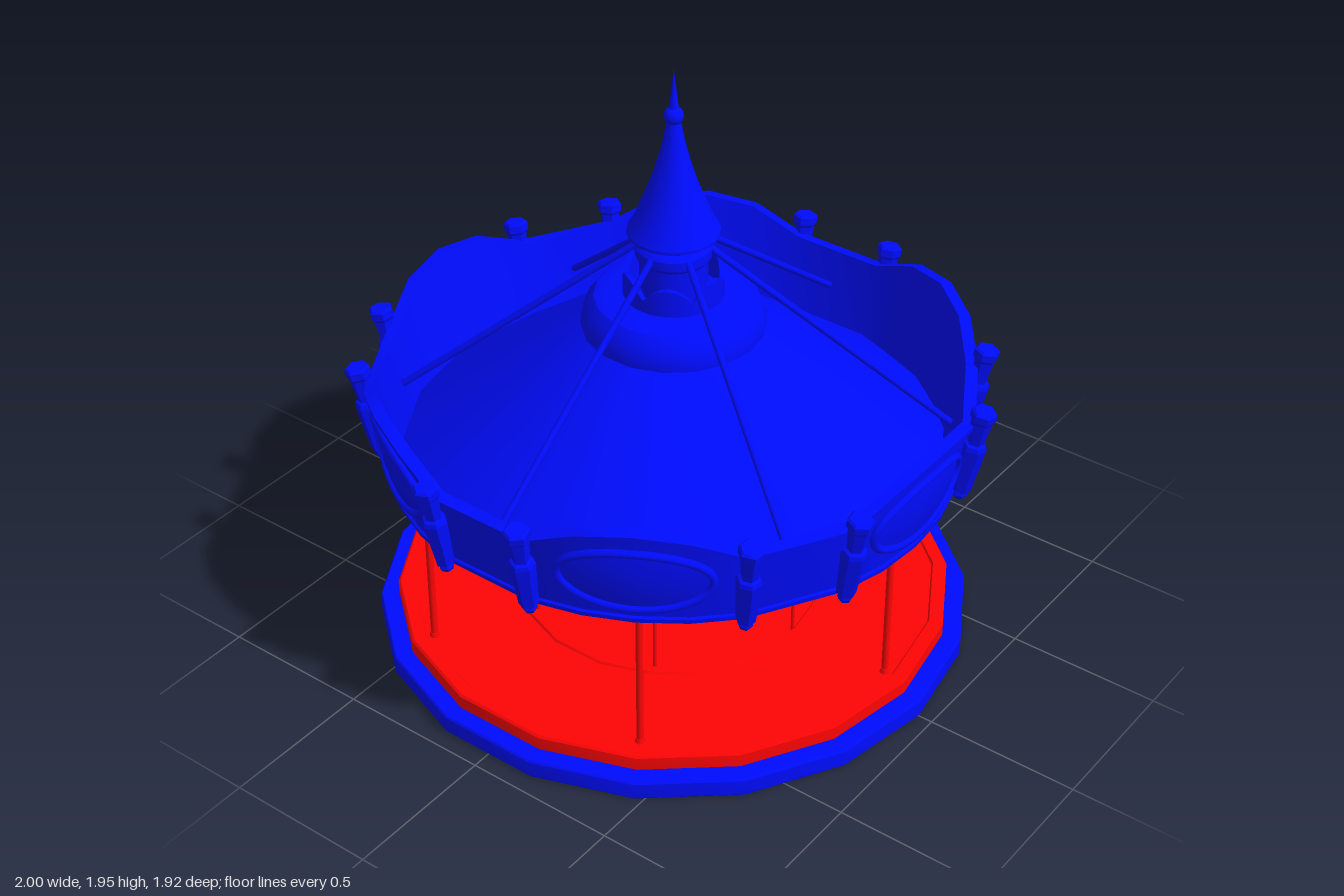
import * as THREE from 'three';
import { toCreasedNormals } from 'three/addons/utils/BufferGeometryUtils.js';

const blue = new THREE.MeshStandardMaterial({ color: 0x000cff, side: THREE.DoubleSide });
const red = new THREE.MeshStandardMaterial({ color: 0xff0404, side: THREE.DoubleSide });
const RAD = Math.PI / 180;
const V = (x, y, z) => new THREE.Vector3(x, y, z);
// point at radius r, height y, angle a measured from +z towards +x
const polar = (r, y, a) => V(r * Math.sin(a), y, r * Math.cos(a));

// closed ring of six arched bays; sectionAt(t) gives [r, y] corners for t = -1..1 across a bay
function archedRing(halfAngle, steps, sectionAt) {
  const pos = [], idx = [], n = sectionAt(0).length, rings = 6 * (steps + 1);
  for (let k = 0; k < 6; k++) for (let i = 0; i <= steps; i++) {
    const t = (2 * i) / steps - 1;
    for (const [r, y] of sectionAt(t)) pos.push(...polar(r, y, (60 * k + halfAngle * t) * RAD).toArray());
  }
  for (let i = 0; i < rings; i++) for (let j = 0; j < n; j++) {
    const p = i * n, q = ((i + 1) % rings) * n, m = (j + 1) % n;
    idx.push(p + j, q + j, p + m, q + m, p + m, q + j);
  }
  const geo = new THREE.BufferGeometry();
  geo.setAttribute('position', new THREE.Float32BufferAttribute(pos, 3));
  geo.setIndex(idx);
  return toCreasedNormals(geo, 0.4);
}

export function createModel() {
  const model = new THREE.Group();
  const add = (name, geo, mat, parent = model) => {
    const m = new THREE.Mesh(geo, mat);
    m.name = name;
    parent.add(m);
    return m;
  };
  const lathe = (pts, sides, crease = 0.5) => toCreasedNormals(
    new THREE.LatheGeometry(pts.map(p => new THREE.Vector2(p[0], p[1])), sides), crease);
  const rod = (name, a, b, r, mat) => {
    const d = b.clone().sub(a);
    const m = add(name, new THREE.CylinderGeometry(r, r, d.length(), 8), mat);
    m.position.copy(a).addScaledVector(d, 0.5);
    m.quaternion.setFromUnitVectors(V(0, 1, 0), d.normalize());
  };

  // Base and floor
  add('baseRing', lathe([[0.87, 0], [0.95, 0], [0.955, 0.006], [0.955, 0.058], [0.95, 0.065],
    [0.87, 0.065], [0.87, 0]], 18), blue);
  add('floor', lathe([[0, 0.09], [0.2, 0.09], [0.2, 0.08], [0.235, 0.08], [0.235, 0.09], [0.49, 0.09],
    [0.49, 0.083], [0.51, 0.083], [0.51, 0.09], [0.86, 0.09], [0.86, 0.062], [0.895, 0.062], [0.895, 0.108], [0.888, 0.115],
    [0.85, 0.115], [0.845, 0.108], [0.51, 0.108], [0.505, 0.115], [0.48, 0.115], [0.475, 0.108], [0, 0.108]], 18), red);
  add('pedestal', lathe([[0.24, 0.1], [0.24, 0.178], [0.232, 0.187], [0, 0.187]], 18), red);

  // Hexagonal column with a core running up into the roof
  add('column', lathe([[0.15, 0.08], [0.15, 0.187], [0.135, 0.195], [0.117, 0.225], [0.108, 0.26], [0.092, 0.43],
    [0.122, 0.435], [0.126, 0.445], [0.122, 0.46], [0.115, 0.465], [0.22, 0.88], [0, 0.88]], 6, 0.2), red);
  add('columnCore', new THREE.CylinderGeometry(0.1, 0.1, 0.34, 18), blue).position.y = 1.04;
  // raised trapezoid frame lying on one hexagon face, from (r0, y0) to (r1, y1)
  const frame = (r0, y0, r1, y1) => {
    const c = Math.cos(30 * RAD), run = (r1 - r0) * c, len = Math.hypot(run, y1 - y0);
    const trap = (path, e) => {
      path.moveTo(-r0 / 2 + e, e);
      path.lineTo(r0 / 2 - e, e);
      path.lineTo(r1 / 2 - e, len - e);
      path.lineTo(-r1 / 2 + e, len - e);
      path.closePath();
      return path;
    };
    const s = trap(new THREE.Shape(), 0.006);
    s.holes.push(trap(new THREE.Path(), 0.02));
    return new THREE.ExtrudeGeometry(s, { depth: 0.007, bevelEnabled: false })
      .rotateX(Math.atan2(run, y1 - y0)).translate(0, y0, r0 * c - 0.001);
  };
  for (let k = 0; k < 6; k++) {
    const a = (30 + 60 * k) * RAD;
    add('lowerColumnPanel', frame(0.108, 0.26, 0.093, 0.42), red).rotation.y = a;
    add('upperColumnPanel', frame(0.118, 0.475, 0.217, 0.87), red).rotation.y = a;
  }

  // Poles, beams and braces
  for (let k = 0; k < 6; k++) {
    const a = 60 * k * RAD;
    rod('outerPole', polar(0.82, 0.08, a), polar(0.82, 0.67, a), 0.011, red);
    rod('innerPole', polar(0.472, 0.08, a), polar(0.472, 0.66, a), 0.006, red);
    rod('innerPoleSleeve', polar(0.472, 0.645, a), polar(0.472, 0.93, a), 0.013, red);
    add('poleFoot', new THREE.CylinderGeometry(0.013, 0.016, 0.015, 8), red)
      .position.copy(polar(0.82, 0.12, a));
    rod('beam', polar(0.1, 0.66, a), polar(0.82, 0.66, a), 0.015, red);
    rod('brace', polar(0.115, 0.45, a), polar(0.29, 0.65, a), 0.005, red);
  }

  // Roof, scalloped collar, spire and stays
  add('roof', lathe([[0.87, 0.645], [0.285, 1.088], [0.285, 1.12], [0.27, 1.16], [0.245, 1.19],
    [0.21, 1.2], [0.105, 1.2], [0.105, 1.33]], 18), blue);
  add('collar', archedRing(30, 6, t => {
    const top = 1.24 + 0.05 * (1 - t * t);
    return [[0.155, 1.19], [0.155, top], [0.138, top], [0.138, 1.19]];
  }), blue);
  add('spire', lathe([[0.09, 1.32], [0.112, 1.325], [0.118, 1.335], [0.118, 1.365], [0.108, 1.378],
    [0.1, 1.382], [0.142, 1.408], [0.142, 1.418], [0.128, 1.44], [0.095, 1.52], [0.07, 1.585], [0.05, 1.65],
    [0.035, 1.71], [0.024, 1.765], [0.02, 1.79], [0.014, 1.83], [0, 1.95]], 18), blue);
  add('spireBall', new THREE.SphereGeometry(0.03, 16, 12), blue).position.y = 1.8;
  for (let k = 0; k < 6; k++) {
    const a = (30 + 60 * k) * RAD;
    rod('roofStay', polar(0.11, 1.36, a), polar(0.86, 0.785, a), 0.011, blue);
  }

  // Flared valance with six arched bays joined by flat bays
  const flare = y => 0.895 + (y - 0.64) * 0.14;
  add('valance', archedRing(20, 4, t => {
    const top = 0.9 + 0.098 * (1 - t * t), lip = top - 0.03;
    return [[0.008, 0.64], [0.008, 0.655], [0, 0.66], [0, lip], [0.018, lip + 0.006], [0.018, top - 0.006],
      [-0.022, top], [-0.045, 0.64]].map(([off, y]) => [flare(y) + off, y]);
  }), blue);

  // Oval medallions wrapped onto the arched bays
  const onBay = (u, v, off) => {
    const y = 0.805 + 0.11 * v;
    return polar(flare(y) + off, y, (0.228 * u) / 0.92);
  };
  const oval = [];
  for (let i = 0; i < 32; i++) {
    const t = (i / 32) * Math.PI * 2;
    oval.push(onBay(Math.cos(t), Math.sin(t), 0.005));
  }
  const frameGeo = new THREE.TubeGeometry(new THREE.CatmullRomCurve3(oval, true), 48, 0.013, 8, true);
  const domeGeo = new THREE.RingGeometry(0, 1, 32, 4);
  const dp = domeGeo.attributes.position;
  for (let i = 0; i < dp.count; i++) {
    const u = dp.getX(i), v = dp.getY(i), p = onBay(u, v, 0.004 + 0.01 * (1 - u * u - v * v));
    dp.setXYZ(i, p.x, p.y, p.z);
  }
  domeGeo.computeVertexNormals();
  for (let k = 0; k < 6; k++) {
    add('medallionFrame', frameGeo, blue).rotation.y = 60 * k * RAD;
    add('medallionDome', domeGeo, blue).rotation.y = 60 * k * RAD;
  }

  // Leaning torch-shaped posts at the bay corners
  const postGeo = lathe([[0, 0], [0.018, 0.004], [0.024, 0.018], [0.02, 0.03], [0.03, 0.035], [0.04, 0.2],
    [0.036, 0.215], [0.026, 0.22], [0.033, 0.3], [0.04, 0.31], [0.041, 0.335], [0.034, 0.342], [0, 0.342]], 6, 0.2);
  for (let k = 0; k < 6; k++) for (const s of [-20, 20]) {
    const holder = new THREE.Group();
    holder.name = 'cornerPost';
    holder.rotation.y = (60 * k + s) * RAD;
    model.add(holder);
    const post = add('post', postGeo, blue, holder);
    post.position.set(0, 0.618, 0.913);
    post.rotation.x = 0.183;
  }
  return model;
}
